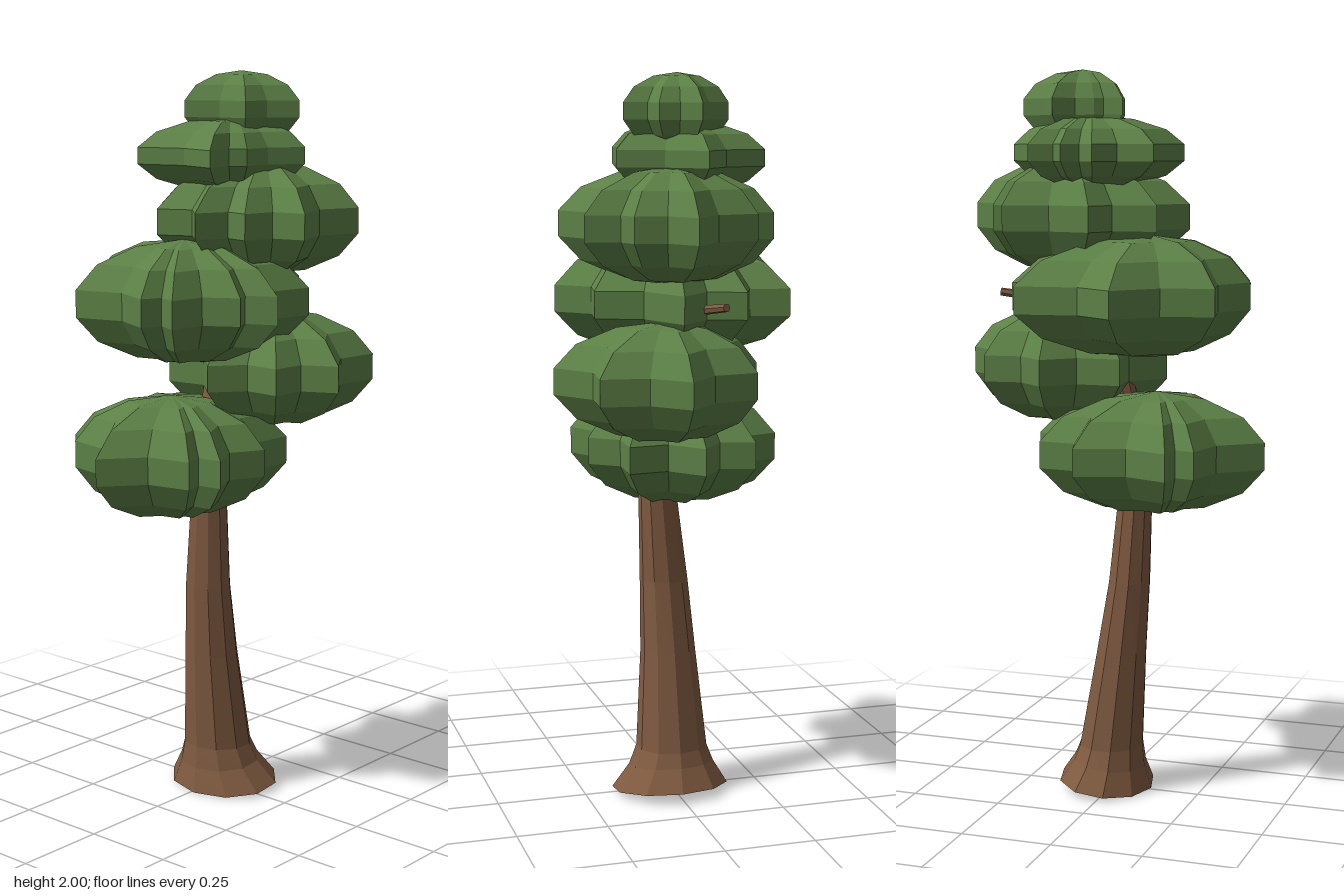
import * as THREE from 'three';

// Skin a stack of equal-length point rings, listed from top to bottom, with flat facets
function loft(rings) {
  const n = rings[0].length, idx = [];
  for (let r = 0; r < rings.length - 1; r++) {
    for (let i = 0; i < n; i++) {
      const a = r * n + i, b = r * n + (i + 1) % n;
      idx.push(a, b, a + n, b, b + n, a + n);
    }
  }
  const g = new THREE.BufferGeometry();
  g.setAttribute('position', new THREE.Float32BufferAttribute(rings.flat(2), 3));
  g.setIndex(idx);
  const flat = g.toNonIndexed();
  flat.computeVertexNormals();
  return flat;
}

// Leaf pads: apex x/z, middle height, half height, and the x/z of each rim tip
const PADS = [
  { c: [-0.14, -0.04], y: 0.975, h: 0.165, tips: [[-0.44, -0.035], [-0.305, -0.245], [-0.245, -0.305],
    [0.01, -0.3], [0.14, -0.2], [0.2, -0.04], [0.12, 0.15], [-0.06, 0.22], [-0.245, 0.225], [-0.31, 0.175]] },
  { c: [0.17, 0.06], y: 1.195, h: 0.16, tips: [[0.44, 0.07], [0.33, 0.285], [0.09, 0.35], [-0.05, 0.25],
    [-0.13, 0.08], [-0.06, -0.12], [0.14, -0.2], [0.325, -0.14]] },
  { c: [-0.11, -0.02], y: 1.395, h: 0.165, tips: [[-0.37, 0.065], [-0.345, 0.15], [-0.19, 0.245], [-0.105, 0.3],
    [0.1, 0.24], [0.295, 0.05], [0.24, -0.14], [0.18, -0.28], [-0.11, -0.355], [-0.345, -0.195]] },
  { c: [0.15, 0.04], y: 1.605, h: 0.155, tips: [[0.42, 0.05], [0.32, 0.19], [0.235, 0.3], [-0.01, 0.31],
    [-0.12, 0.2], [-0.19, 0.09], [-0.15, -0.08], [0, -0.2], [0.24, -0.21], [0.29, -0.15]] },
  { c: [0.06, 0], y: 1.778, h: 0.1, tips: [[-0.165, 0.12], [-0.16, -0.14], [-0.01, -0.2], [0.07, -0.22],
    [0.165, -0.21], [0.28, -0.02], [0.14, 0.19], [-0.04, 0.14]] },
  { c: [0.09, 0.01], y: 1.9, h: 0.1, tips: [[-0.05, -0.07], [0.03, -0.07], [0.13, -0.12], [0.255, -0.01],
    [0.2, 0.09], [0.14, 0.17], [0, 0.1]] },
];

// Squashed seven-band ball whose outline is a star; valleys are pulled in between neighbouring tips
function padGeometry({ c: [cx, cz], y, h, tips }) {
  const star = tips.map(([x, z]) => [x - cx, z - cz])
    .sort((p, q) => Math.atan2(p[1], p[0]) - Math.atan2(q[1], q[0]));
  const outline = star.flatMap((p, i) => {
    const q = star[(i + 1) % star.length];
    return [p, [(p[0] + q[0]) * 0.41, (p[1] + q[1]) * 0.41]];
  });
  const bands = 7, widest = Math.sin(3 * Math.PI / bands);
  return loft(Array.from({ length: bands + 1 }, (_, k) => {
    const phi = k * Math.PI / bands, s = Math.sin(phi) / widest;
    return outline.map(([x, z]) => [cx + x * s, y + h * Math.cos(phi), cz + z * s]);
  }));
}

// Trunk cross-sections, top to bottom: [y, centre x, centre z, radius x, radius z]
const TRUNK = [
  [1.9, 0.09, 0.01, 0, 0], [1.4, 0.03, 0.01, 0.028, 0.03], [1.1, -0.03, 0.02, 0.038, 0.042],
  [0.84, -0.058, 0.022, 0.048, 0.054], [0.6, -0.046, 0.008, 0.058, 0.068], [0.4, -0.025, 0.002, 0.071, 0.078],
  [0.13, 0.004, 0, 0.091, 0.1], [0.08, 0.009, 0.002, 0.102, 0.12], [0.018, 0.021, 0.01, 0.131, 0.165],
  [0.018, 0.021, 0.01, 0, 0],
];

function trunkGeometry(sides = 10) {
  return loft(TRUNK.map(([y, cx, cz, rx, rz]) => Array.from({ length: sides }, (_, i) => {
    const a = (i / sides) * Math.PI * 2;
    const lean = y < 0.1 ? 0.11 * rx * Math.cos(a) : 0; // sloping foot
    return [cx + rx * Math.cos(a), y + lean, cz + rz * Math.sin(a)];
  })));
}

// Thin twig between two points
function twigGeometry(from, to) {
  const a = new THREE.Vector3(...from), b = new THREE.Vector3(...to), d = b.clone().sub(a);
  const g = new THREE.CylinderGeometry(0.011, 0.016, d.length(), 6);
  g.applyQuaternion(new THREE.Quaternion().setFromUnitVectors(new THREE.Vector3(0, 1, 0), d.normalize()));
  g.translate(...a.add(b).multiplyScalar(0.5).toArray());
  const flat = g.toNonIndexed();
  flat.computeVertexNormals();
  return flat;
}

export function createModel() {
  const leaf = new THREE.MeshStandardMaterial({ color: 0x5c8046 });
  leaf.name = 'leafGreen';
  const bark = new THREE.MeshStandardMaterial({ color: 0x7f5a40 });
  bark.name = 'barkBrown';

  const tree = new THREE.Group();
  tree.name = 'tree';
  const add = (name, geometry, material) => {
    const mesh = new THREE.Mesh(geometry, material);
    mesh.name = name;
    tree.add(mesh);
  };

  add('trunk', trunkGeometry(), bark);
  add('lowerTwig', twigGeometry([-0.05, 0.96, 0], [-0.295, 1.07, -0.1]), bark);
  add('upperTwig', twigGeometry([0.03, 1.36, 0], [0.305, 1.4, -0.06]), bark);
  PADS.forEach((pad, i) => add(`leafPad${i + 1}`, padGeometry(pad), leaf));
  return tree;
}
